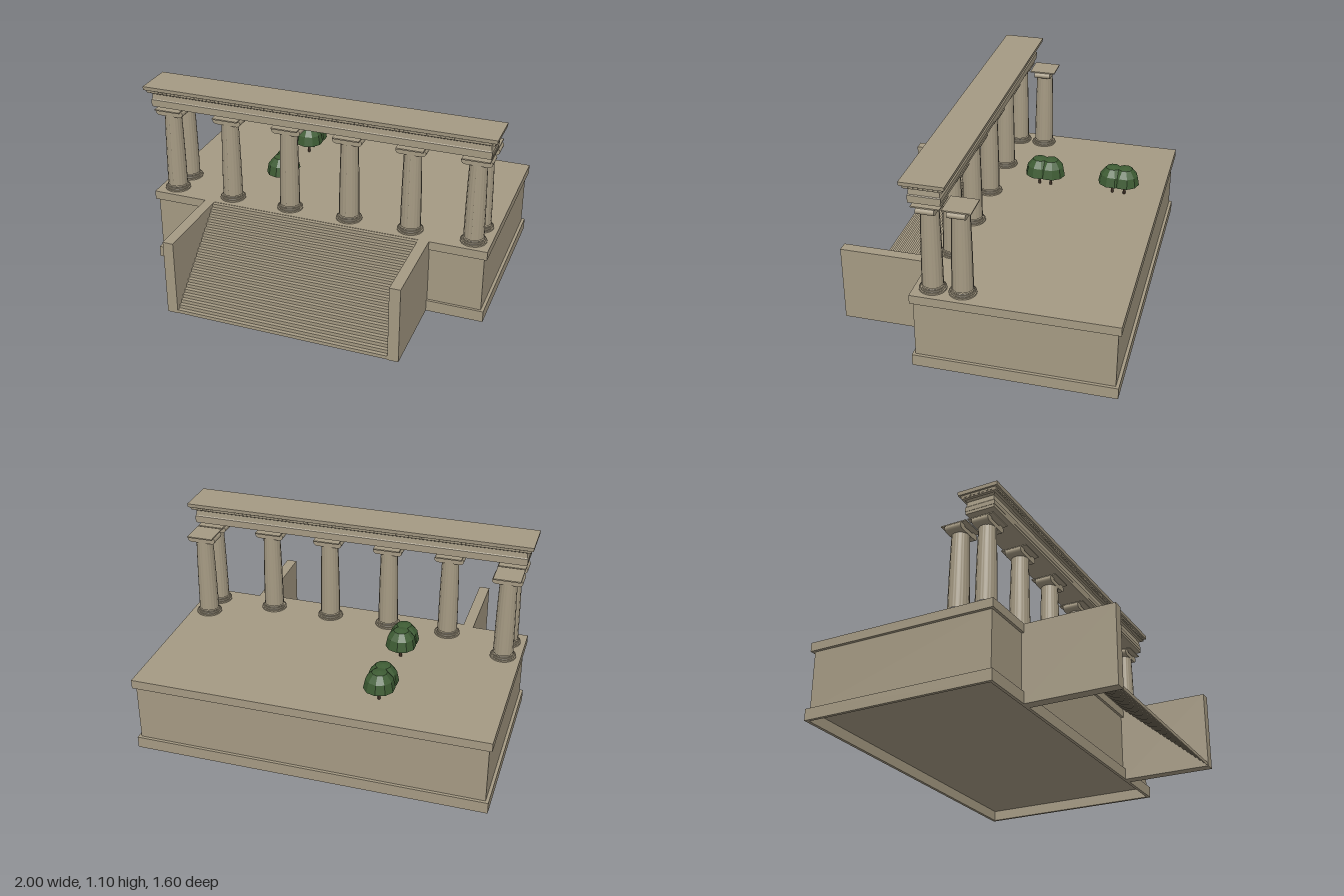
import * as THREE from 'three';

const stone = new THREE.MeshStandardMaterial({ color: 0xa59a83 });
const stoneFlat = new THREE.MeshStandardMaterial({ color: 0xa59a83, side: THREE.DoubleSide, flatShading: true });
const leaf = new THREE.MeshStandardMaterial({ color: 0x3e5c34, flatShading: true });
const bark = new THREE.MeshStandardMaterial({ color: 0x3f3024 });

function add(parent, name, geometry, material = stone) {
  const mesh = new THREE.Mesh(geometry, material);
  mesh.name = name;
  parent.add(mesh);
  return mesh;
}

// Box given by its minimum and maximum on each axis
function block(parent, name, x0, x1, y0, y1, z0, z1) {
  const mesh = add(parent, name, new THREE.BoxGeometry(x1 - x0, y1 - y0, z1 - z0));
  mesh.position.set((x0 + x1) / 2, (y0 + y1) / 2, (z0 + z1) / 2);
  return mesh;
}

// Hollow rectangular frame standing on y = 0
function frameGeometry(halfX, halfZ, thickness, height) {
  const corners = (x, z) => [[-x, -z], [x, -z], [x, z], [-x, z]].map(([a, b]) => new THREE.Vector2(a, b));
  const shape = new THREE.Shape(corners(halfX, halfZ));
  shape.holes.push(new THREE.Path(corners(halfX - thickness, halfZ - thickness)));
  return new THREE.ExtrudeGeometry(shape, { depth: height, bevelEnabled: false }).rotateX(-Math.PI / 2);
}

// Rectangular moulding: rows of [height, outward offset] around a core rectangle
function moulding(parent, name, halfX, halfZ, rows) {
  const pos = [];
  const ring = ([y, o]) => [[1, 1], [1, -1], [-1, -1], [-1, 1]]
    .map(([sx, sz]) => [sx * (halfX + o), y, sz * (halfZ + o)]);
  const quad = (a, b, c, d) => pos.push(...a, ...b, ...c, ...a, ...c, ...d);
  const rings = rows.map(ring);
  for (let i = 0; i < rings.length - 1; i++) {
    for (let k = 0; k < 4; k++) {
      const n = (k + 1) % 4;
      quad(rings[i][k], rings[i][n], rings[i + 1][n], rings[i + 1][k]);
    }
  }
  const top = rings[rings.length - 1], low = rings[0];
  quad(top[0], top[1], top[2], top[3]);
  quad(low[3], low[2], low[1], low[0]);
  const g = new THREE.BufferGeometry();
  g.setAttribute('position', new THREE.Float32BufferAttribute(pos, 3));
  g.computeVertexNormals();
  return add(parent, name, g, stoneFlat);
}

// Tapered shaft with shallow flutes
function shaftGeometry() {
  const flutes = 20, per = 4;
  const g = new THREE.CylinderGeometry(0.048, 0.057, 0.44, flutes * per, 4, true);
  const p = g.attributes.position;
  for (let i = 0; i < p.count; i++) {
    const x = p.getX(i), z = p.getZ(i);
    const a = Math.atan2(z, x);
    const t = (p.getY(i) + 0.22) / 0.44;
    const s = (1 - 0.03 * Math.abs(Math.sin(a * flutes / 2))) * (1 + 0.03 * Math.sin(Math.PI * t));
    p.setX(i, x * s);
    p.setZ(i, z * s);
  }
  g.computeVertexNormals();
  return g;
}

function column(x, z) {
  const g = new THREE.Group();
  g.name = 'column';
  // Round base with two rolls
  const profile = [[0, 0], [0.073, 0], [0.073, 0.008], [0.066, 0.009], [0.068, 0.013], [0.065, 0.017],
    [0.06, 0.018], [0.061, 0.023], [0.057, 0.027]].map(([r, y]) => new THREE.Vector2(r, y));
  add(g, 'columnBase', new THREE.LatheGeometry(profile, 24), stoneFlat);
  add(g, 'columnShaft', shaftGeometry()).position.y = 0.25;
  // Capital: scrolls joined by a cushion that leaves a slot under the top plate
  for (const s of [-1, 1]) {
    const scroll = add(g, 'volute', new THREE.CylinderGeometry(0.02, 0.02, 0.096, 16));
    scroll.rotation.x = Math.PI / 2;
    scroll.scale.x = 1.2;
    scroll.position.set(s * 0.06, 0.488, 0);
  }
  block(g, 'cushion', -0.06, 0.06, 0.468, 0.494, -0.048, 0.048);
  block(g, 'abacus', -0.075, 0.075, 0.504, 0.511, -0.075, 0.075);
  g.position.set(x, 0.44, z);
  return g;
}

function tree(x, z) {
  const g = new THREE.Group();
  g.name = 'tree';
  add(g, 'trunk', new THREE.CylinderGeometry(0.008, 0.008, 0.09, 8), bark).position.y = 0.045;
  const crown = [[0, 0.072], [0.085, 0.07], [0.074, 0.127], [0.042, 0.166], [0, 0.175]]
    .map(([r, y]) => new THREE.Vector2(r, y));
  add(g, 'crown', new THREE.LatheGeometry(crown, 10), leaf);
  g.position.set(x, 0.44, z);
  return g;
}

// Open stepped surface made of risers and treads
function stairGeometry(halfX, zTop, zFoot, height, steps) {
  const pos = [];
  const depth = (zFoot - zTop) / steps, rise = height / steps;
  const strip = (y0, z0, y1, z1) => pos.push(
    -halfX, y0, z0, halfX, y0, z0, halfX, y1, z1,
    -halfX, y0, z0, halfX, y1, z1, -halfX, y1, z1);
  for (let i = 0; i < steps; i++) {
    const z = zFoot - i * depth, y = i * rise;
    strip(y, z, y + rise, z);
    strip(y + rise, z, y + rise, z - depth);
  }
  const g = new THREE.BufferGeometry();
  g.setAttribute('position', new THREE.Float32BufferAttribute(pos, 3));
  g.computeVertexNormals();
  return g;
}

export function createModel() {
  const model = new THREE.Group();
  model.name = 'templePortico';

  // Platform: body raised on a hollow foot frame, with a top slab
  add(model, 'platformFoot', frameGeometry(0.985, 0.5475, 0.018, 0.065)).position.z = -0.2525;
  block(model, 'platformBody', -0.968, 0.968, 0.06, 0.39, -0.783, 0.28);
  block(model, 'platformTop', -0.985, 0.985, 0.39, 0.44, -0.8, 0.295);

  // Staircase between two cheek walls
  add(model, 'stairs', stairGeometry(0.605, 0.295, 0.797, 0.438, 22), stoneFlat);
  block(model, 'leftStairWall', 0.605, 0.665, 0, 0.44, 0.28, 0.8);
  block(model, 'rightStairWall', -0.665, -0.605, 0, 0.44, 0.28, 0.8);

  // Front row of six columns, with one more behind each corner
  for (let i = 0; i < 6; i++) model.add(column(-0.885 + i * 0.354, 0.197));
  for (const s of [-1, 1]) model.add(column(s * 0.885, 0.037));

  // Entablature
  const beam = new THREE.Group();
  beam.name = 'entablature';
  beam.position.z = 0.197;
  model.add(beam);
  moulding(beam, 'architrave', 0.96, 0.077, [
    [0.974, 0.007], [0.99, 0.007], [0.99, 0.009], [1.015, 0.009], [1.02, 0.005], [1.048, 0.002],
    [1.055, 0.009], [1.06, 0.012]]);
  moulding(beam, 'cornice', 0.96, 0.077, [
    [1.058, 0.012], [1.06, 0.024], [1.079, 0.028], [1.079, 0.038], [1.1, 0.04]]);
  // Small teeth on all four faces of the cornice
  const teeth = (count, span, size, along) => {
    const row = new THREE.InstancedMesh(new THREE.BoxGeometry(...size), stone, count);
    row.name = 'dentils';
    for (let i = 0; i < count; i++) {
      const at = along.clone().multiplyScalar(span * (i / (count - 1) - 0.5));
      row.setMatrixAt(i, new THREE.Matrix4().makeTranslation(at.x, 1.07, at.z));
    }
    beam.add(row);
  };
  teeth(80, 1.93, [0.012, 0.008, 0.212], new THREE.Vector3(1, 0, 0));
  teeth(7, 0.15, [1.978, 0.008, 0.012], new THREE.Vector3(0, 0, 1));

  // Two pairs of trees on the terrace
  for (const z of [-0.068, -0.135, -0.508, -0.579]) model.add(tree(-0.34, z));

  return model;
}
